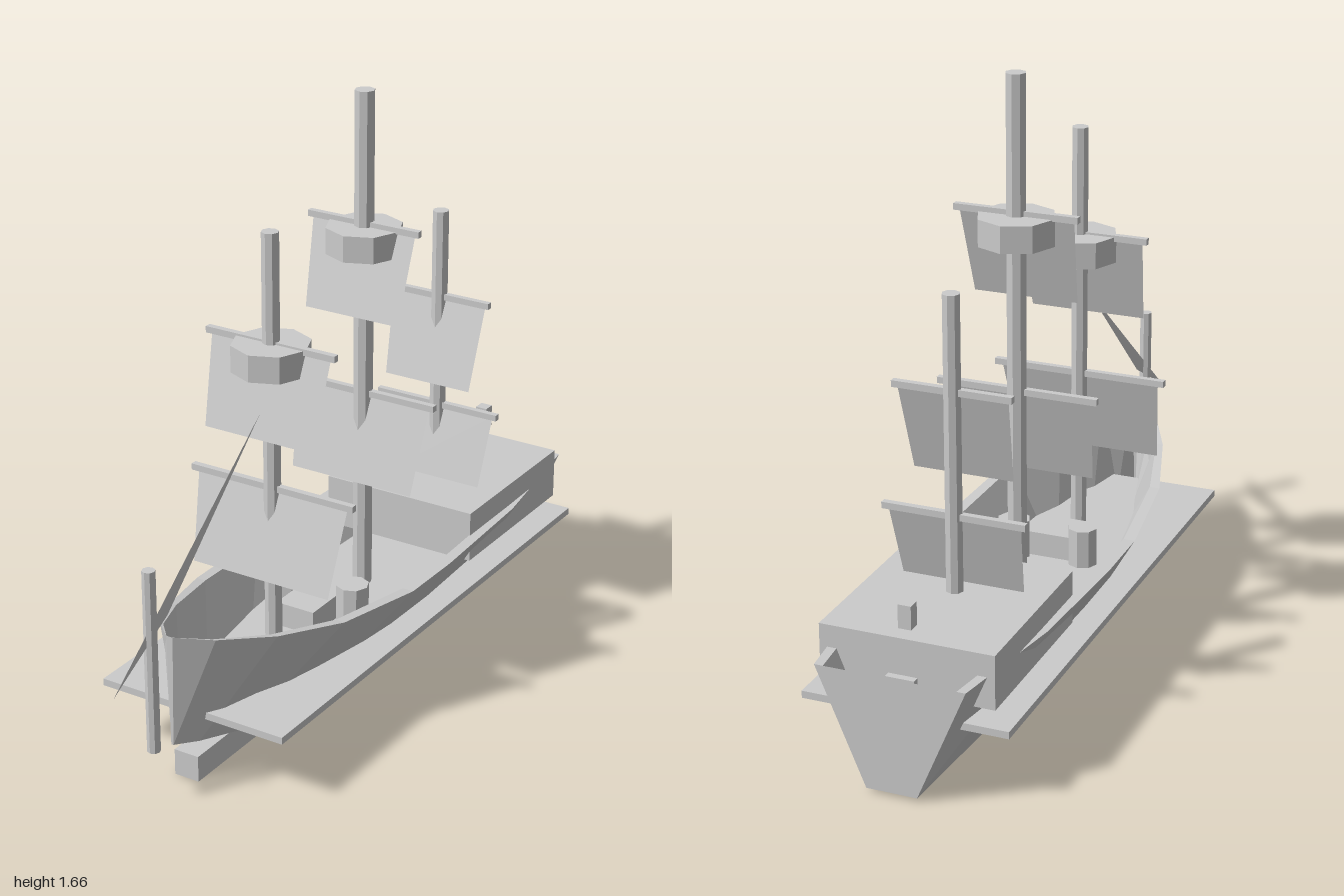
import * as THREE from 'three';

const grey = new THREE.MeshStandardMaterial({ color: 0xcccccc, flatShading: true });
const thin = new THREE.MeshStandardMaterial({ color: 0xcccccc, flatShading: true, side: THREE.DoubleSide });

// Flat-faced geometry from a list of four-cornered faces
function quads(faces) {
  const pos = [];
  for (const [a, b, c, d] of faces) for (const p of [a, b, c, a, c, d]) pos.push(...p);
  const g = new THREE.BufferGeometry();
  g.setAttribute('position', new THREE.Float32BufferAttribute(pos, 3));
  g.computeVertexNormals();
  return g;
}

// Hollow hull lofted along z: [z, half width, sheer height, keel height]
function hullGeometry() {
  const stations = [
    [-1, 0.205, 0.33, 0.01], [-0.6, 0.26, 0.322, 0.004], [-0.2, 0.277, 0.32, 0.003],
    [0, 0.275, 0.32, 0.005], [0.3, 0.24, 0.35, 0.03], [0.52, 0.172, 0.39, 0.075],
    [0.68, 0.088, 0.428, 0.112], [0.76, 0.01, 0.45, 0.132],
  ];
  const loops = stations.map(([z, w, top, low]) => {
    const side = [[0.34 * w, low], [w, top], [0.88 * w, top], [0.3 * w, low + 0.025]];
    return [
      ...side.map(([x, y]) => [-x, y, z]),
      ...side.reverse().map(([x, y]) => [x, y, z]),
    ];
  });
  const faces = [];
  for (let i = 0; i < loops.length - 1; i++) {
    for (let j = 0; j < 8; j++) {
      const k = (j + 1) % 8;
      faces.push([loops[i][j], loops[i + 1][j], loops[i + 1][k], loops[i][k]]);
    }
  }
  // Transom and stem close the two ends
  const stern = loops[0], bow = loops[loops.length - 1];
  faces.push([stern[0], stern[1], stern[6], stern[7]]);
  faces.push([bow[7], bow[6], bow[1], bow[0]]);
  return quads(faces);
}

export function createModel() {
  const model = new THREE.Group();

  function add(name, geometry, x = 0, y = 0, z = 0, material = grey, parent = model) {
    const mesh = new THREE.Mesh(geometry, material);
    mesh.name = name;
    mesh.position.set(x, y, z);
    parent.add(mesh);
    return mesh;
  }
  // Box given by its centre in x and z, and its bottom and top heights
  function box(name, width, y0, y1, z0, z1, x = 0) {
    return add(name, new THREE.BoxGeometry(width, y1 - y0, z1 - z0), x, (y0 + y1) / 2, (z0 + z1) / 2);
  }
  function post(name, r, y0, y1, z, x = 0, sides = 8, parent = model) {
    return add(name, new THREE.CylinderGeometry(r, r, y1 - y0, sides), x, (y0 + y1) / 2, z, grey, parent);
  }

  // Hull, keel and the deck plate that reaches through the sides
  add('hull', hullGeometry(), 0, 0, 0, thin);
  box('keel', 0.075, 0, 0.075, -0.9, 0.7);
  box('deck', 0.57, 0.18, 0.2, -0.92, 0.675);

  // Stern
  box('sternCabin', 0.48, 0.24, 0.39, -0.9, -0.38);
  box('sternLantern', 0.036, 0.42, 0.485, -0.905, -0.87);
  box('rudder', 0.08, 0.03, 0.3, -0.94, -0.92);

  // Deck fittings
  box('hatch', 0.12, 0.2, 0.27, 0.05, 0.175);
  post('barrelRight', 0.042, 0.2, 0.31, 0.055, -0.1);
  post('barrelLeft', 0.047, 0.2, 0.31, 0.035, 0.1);

  // Masts: yards are [height, half length]
  const masts = [
    { name: 'foreMast', z: 0.28, r: 0.024, top: 1.4, nest: 1.02, yards: [[0.68, 0.256], [1.092, 0.2]] },
    { name: 'mainMast', z: -0.18, r: 0.028, top: 1.66, nest: 1.205, yards: [[0.79, 0.23], [1.285, 0.175]] },
    { name: 'mizzenMast', z: -0.6, r: 0.024, top: 1.2, yards: [[0.6, 0.2], [0.94, 0.165]] },
  ];
  const drop = 0.25, lean = 0.065;
  for (const m of masts) {
    const rig = new THREE.Group();
    rig.name = m.name + 'Rig';
    model.add(rig);
    post(m.name, m.r, 0.1, m.top, m.z, 0, 8, rig);
    if (m.nest) post('crowsNest', 0.108, m.nest, m.nest + 0.075, m.z, 0, 8, rig);
    for (const [y, half] of m.yards) {
      add('yard', new THREE.BoxGeometry(half * 2, 0.018, 0.018), 0, y, m.z, grey, rig);
      // Flat sail, narrower and further forward at its foot
      const a = half * 0.925, b = half * 0.84;
      const sail = quads([[[-b, -drop, lean], [b, -drop, lean], [a, 0, 0], [-a, 0, 0]]]);
      add('sail', sail, 0, y, m.z, thin, rig);
    }
  }

  // Upright bow spar and the triangular jib on the centre line
  post('bowSpar', 0.018, 0.155, 0.675, 0.84);
  const jib = new THREE.BufferGeometry();
  jib.setAttribute('position', new THREE.Float32BufferAttribute(
    [0, 0.385, 1, 0, 0.515, 0.765, 0, 0.915, 0.333], 3));
  jib.computeVertexNormals();
  add('jib', jib, 0, 0, 0, thin);

  return model;
}
